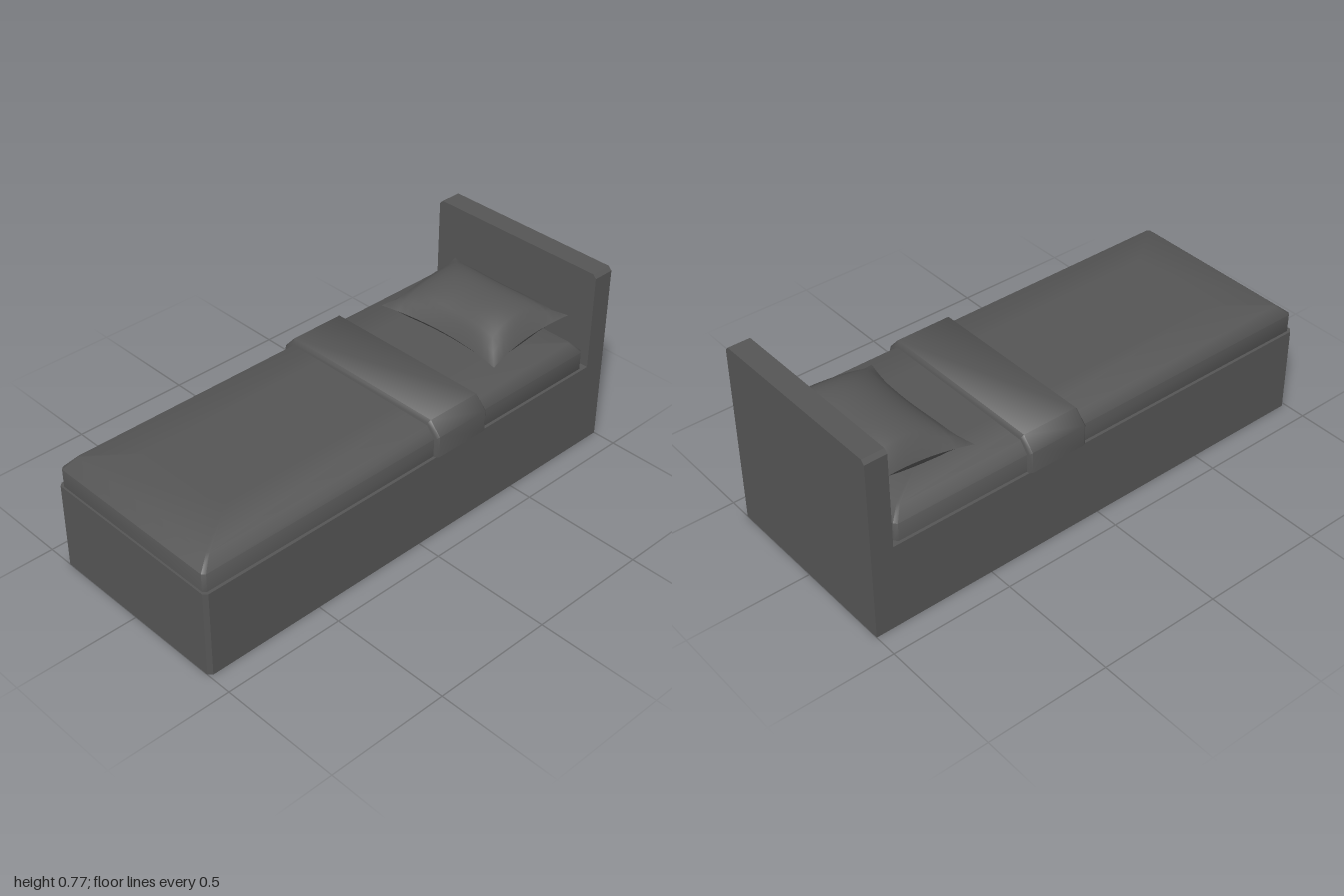
import * as THREE from 'three';
import { toCreasedNormals } from 'three/addons/utils/BufferGeometryUtils.js';

// Skin a stack of closed rings (counter-clockwise about the stacking direction), capped at both ends
function loft(rings) {
  const n = rings[0].length;
  const pos = rings.flat(2);
  const index = [];
  for (let i = 0; i < rings.length - 1; i++) {
    for (let j = 0; j < n; j++) {
      const k = (j + 1) % n;
      const a = i * n + j, b = i * n + k, c = b + n, d = a + n;
      index.push(a, b, c, a, c, d);
    }
  }
  const last = (rings.length - 1) * n;
  [[rings[0], 0, true], [rings[rings.length - 1], last, false]].forEach(([ring, start, flip]) => {
    const centre = pos.length / 3;
    for (let axis = 0; axis < 3; axis++) pos.push(ring.reduce((s, p) => s + p[axis], 0) / n);
    for (let j = 0; j < n; j++) {
      const a = start + j, b = start + (j + 1) % n;
      if (flip) index.push(centre, b, a);
      else index.push(centre, a, b);
    }
  });
  const geo = new THREE.BufferGeometry();
  geo.setAttribute('position', new THREE.Float32BufferAttribute(pos, 3));
  geo.setIndex(index);
  return toCreasedNormals(geo, 1.0);
}

// Horizontal rectangle with clipped corners
function clippedRing(y, x, z0, z1, c) {
  return [
    [x, y, z1 - c], [x, y, z0 + c], [x - c, y, z0], [-x + c, y, z0],
    [-x, y, z0 + c], [-x, y, z1 - c], [-x + c, y, z1], [x - c, y, z1],
  ];
}

// Upright arch with sloped shoulders
function archRing(z, x, top, shoulderX, shoulderY) {
  const b = 0.36;
  return [[-x, b, z], [x, b, z], [x, shoulderY, z], [shoulderX, top, z], [-shoulderX, top, z], [-x, shoulderY, z]];
}

// Plump pillow: pinched edges, pointed corners, raised towards the headboard
function pillowGeometry() {
  const nu = 16, nv = 12;
  const pos = [], index = [];
  for (const side of [1, -1]) {
    const base = pos.length / 3;
    for (let j = 0; j <= nv; j++) {
      for (let i = 0; i <= nu; i++) {
        const u = -1 + 2 * i / nu, v = -1 + 2 * j / nv;
        const x = u * (0.297 - 0.025 * (1 - v * v));
        const z = -0.69 + v * (0.207 - 0.036 * (1 - u * u));
        const puff = Math.pow((1 - Math.pow(Math.abs(u), 3.5)) * (1 - v * v), 0.65);
        const seam = 0.529 - 0.024 * v;
        const y = side > 0 ? seam + 0.098 * puff : Math.max(0.475, seam - 0.09 * puff);
        pos.push(x, y, z);
      }
    }
    for (let j = 0; j < nv; j++) {
      for (let i = 0; i < nu; i++) {
        const a = base + j * (nu + 1) + i, b = a + 1, d = a + nu + 1, c = d + 1;
        if (side > 0) index.push(a, d, c, a, c, b);
        else index.push(a, c, d, a, b, c);
      }
    }
  }
  const geo = new THREE.BufferGeometry();
  geo.setAttribute('position', new THREE.Float32BufferAttribute(pos, 3));
  geo.setIndex(index);
  geo.computeVertexNormals();
  return geo;
}

export function createModel() {
  const bed = new THREE.Group();
  bed.name = 'bed';
  const grey = new THREE.MeshStandardMaterial({ color: 0x555555 });
  grey.name = 'dark grey';
  const add = (name, geo) => {
    const mesh = new THREE.Mesh(geo, grey);
    mesh.name = name;
    bed.add(mesh);
  };

  // Box base with clipped front corners
  const plan = new THREE.Shape([
    [-0.402, 0.91], [0.402, 0.91], [0.402, -0.985], [0.388, -1], [-0.388, -1], [-0.402, -0.985],
  ].map(([x, y]) => new THREE.Vector2(x, y)).reverse());
  const base = new THREE.ExtrudeGeometry(plan, { depth: 0.36, bevelEnabled: false });
  base.rotateX(-Math.PI / 2);
  add('bedBase', base);

  // Headboard with clipped top corners
  const board = new THREE.Shape([
    [-0.402, 0], [0.402, 0], [0.402, 0.755], [0.388, 0.77], [-0.388, 0.77], [-0.402, 0.755],
  ].map(([x, y]) => new THREE.Vector2(x, y)));
  const headboard = new THREE.ExtrudeGeometry(board, { depth: 0.09, bevelEnabled: false });
  headboard.translate(0, 0, -1);
  add('headboard', headboard);

  // Mattress with sloped upper edges
  add('mattress', loft([
    clippedRing(0.355, 0.39, -0.89, 0.992, 0.012),
    clippedRing(0.435, 0.39, -0.89, 0.992, 0.012),
    clippedRing(0.478, 0.355, -0.85, 0.942, 0.008),
    clippedRing(0.479, 0.2, -0.65, 0.74, 0.008),
  ]));

  // Folded blanket across the bed
  add('blanketFold', loft([
    archRing(-0.328, 0.402, 0.488, 0.355, 0.442),
    archRing(-0.318, 0.409, 0.501, 0.362, 0.449),
    archRing(-0.082, 0.409, 0.501, 0.362, 0.449),
    archRing(-0.072, 0.402, 0.488, 0.355, 0.442),
  ]));

  add('pillow', pillowGeometry());
  return bed;
}
